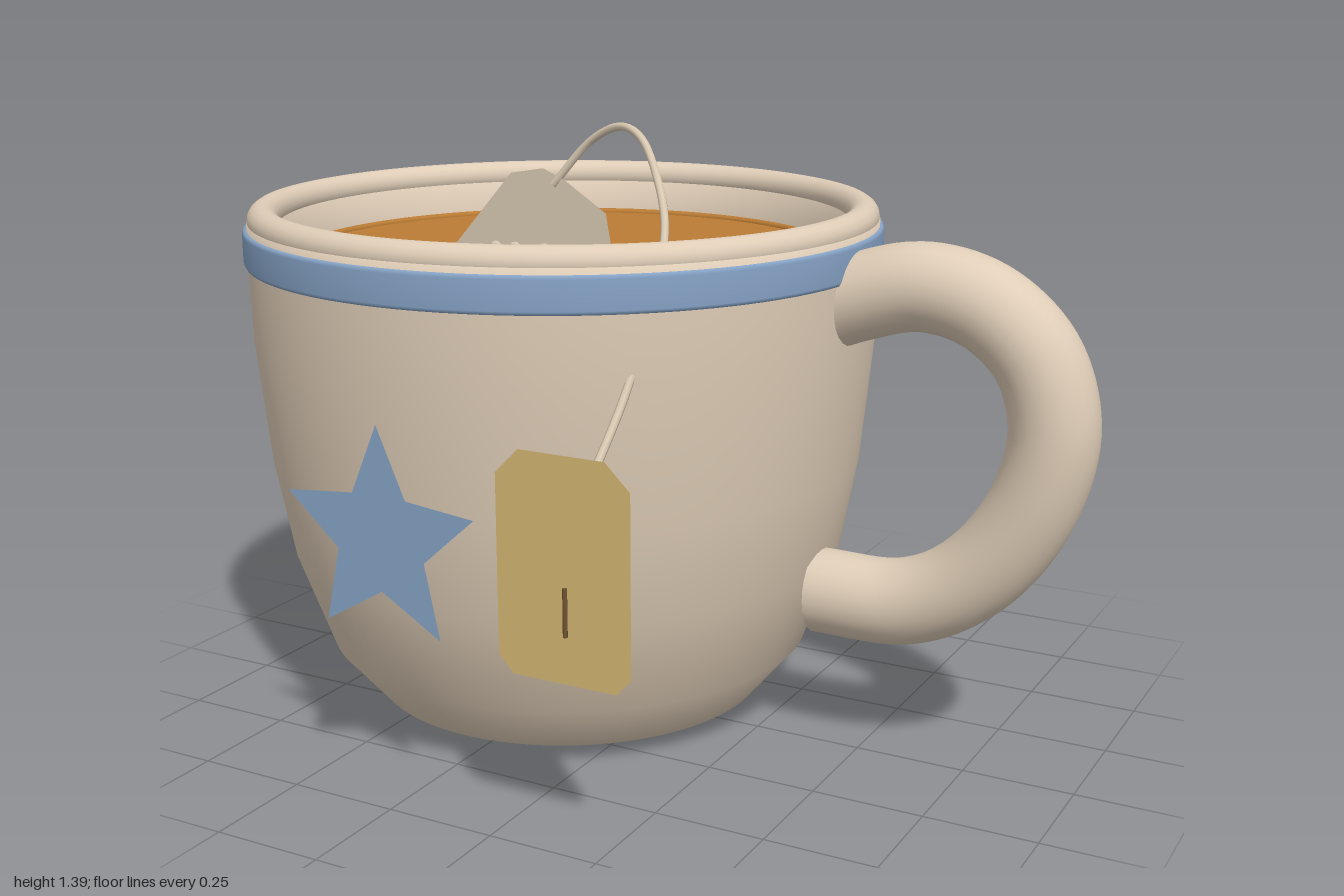
import * as THREE from 'three';

const CX = -0.27, CZ = -0.028; // cup axis

function material(name, color, side = THREE.FrontSide) {
  const m = new THREE.MeshStandardMaterial({ color, side });
  m.name = name;
  return m;
}

const v2 = (pts) => pts.map(([x, y]) => new THREE.Vector2(x, y));
const v3 = (pts) => pts.map(([x, y, z]) => new THREE.Vector3(x, y, z));

export function createModel() {
  const group = new THREE.Group();
  const ceramic = material('cream ceramic', 0xdfcdb7);
  const blue = material('blue glaze', 0x86a3c6, THREE.DoubleSide);
  const tea = material('tea', 0xbb7c34);
  const paper = material('tag paper', 0xd6b873, THREE.DoubleSide);
  const bagCloth = material('bag cloth', 0xd9c9b2, THREE.DoubleSide);
  const brown = material('stem brown', 0x6e5530);

  const add = (name, geometry, mat, x = 0, y = 0, z = 0) => {
    const mesh = new THREE.Mesh(geometry, mat);
    mesh.name = name;
    mesh.position.set(x, y, z);
    group.add(mesh);
    return mesh;
  };
  const plate = (name, pts, mat, z) =>
    add(name, new THREE.ShapeGeometry(new THREE.Shape(v2(pts))), mat, 0, 0, z);

  // Cup wall: up the outside, over the lip, down the inside
  const wall = [
    [0, 0], [0.38, 0.003], [0.465, 0.04], [0.57, 0.165], [0.65, 0.39], [0.69, 0.61],
    [0.718, 0.89], [0.723, 1.07], [0.722, 1.16], [0.655, 1.16], [0.648, 1.04], [0.64, 0.9],
    [0.6, 0.4], [0.5, 0.16], [0, 0.08],
  ];
  add('cupBody', new THREE.LatheGeometry(v2(wall), 96), ceramic, CX, 0, CZ);

  // Rounded rim
  const rim = add('rim', new THREE.TorusGeometry(0.686, 0.035, 16, 96), ceramic, CX, 1.165, CZ);
  rim.rotation.x = Math.PI / 2;

  // Blue band under the rim
  const band = [[0.715, 1.067], [0.728, 1.067], [0.732, 1.075], [0.732, 1.138], [0.728, 1.146], [0.715, 1.146]];
  add('blueBand', new THREE.LatheGeometry(v2(band), 96), blue, CX, 0, CZ);

  // Tea surface with a raised edge
  const surface = add('teaSurface', new THREE.CircleGeometry(0.645, 96), tea, CX, 1.07, CZ);
  surface.rotation.x = -Math.PI / 2;
  const edge = add('teaEdge', new THREE.TorusGeometry(0.635, 0.01, 8, 96), tea, CX, 1.07, CZ);
  edge.rotation.x = Math.PI / 2;

  // Handle, closed at both ends
  const handlePath = new THREE.CatmullRomCurve3(v3([
    [0.35, 0.985, CZ], [0.46, 1.03, CZ], [0.61, 1.066, CZ], [0.75, 1.035, CZ], [0.86, 0.94, CZ],
    [0.905, 0.8, CZ], [0.88, 0.65, CZ], [0.8, 0.505, CZ], [0.7, 0.41, CZ], [0.58, 0.358, CZ], [0.385, 0.352, CZ],
  ]));
  add('handle', new THREE.TubeGeometry(handlePath, 80, 0.096, 24), ceramic);
  for (const t of [0, 1]) {
    const p = handlePath.getPointAt(t);
    const out = handlePath.getTangentAt(t).multiplyScalar(t === 0 ? -1 : 1);
    const cap = add('handleEnd', new THREE.CircleGeometry(0.096, 24), ceramic, p.x, p.y, p.z);
    cap.quaternion.setFromUnitVectors(new THREE.Vector3(0, 0, 1), out);
  }

  // Five-pointed star on the front
  const star = [];
  for (let i = 0; i < 10; i++) {
    const r = i % 2 ? 0.113 : 0.243, a = Math.PI / 2 + (i * Math.PI) / 5;
    star.push([CX + r * Math.cos(a), 0.587 + r * Math.sin(a)]);
  }
  plate('star', star, blue, 0.722);

  // Tea bag leaning half out of the tea
  plate('teaBag', [
    [-0.55, 1.02], [-0.04, 0.95], [-0.085, 1.19], [-0.19, 1.257], [-0.245, 1.28], [-0.33, 1.265],
  ], bagCloth, 0.108);

  // Lumps of tea leaf showing along the bag
  for (let i = 0; i < 13; i++) {
    const lump = add('bagLump', new THREE.SphereGeometry(0.014, 8, 6), bagCloth,
      -0.4 + i * 0.026, 1.088 + 0.014 * Math.sin(i * 2.4), 0.11);
    lump.scale.set(1.1, 0.75, 0.5);
  }

  // String from the bag, through the wall, to the tag
  const stringPath = new THREE.CatmullRomCurve3(v3([
    [-0.22, 1.245, 0.107], [-0.13, 1.345, 0.094], [-0.04, 1.383, 0.118], [0.03, 1.365, 0.155],
    [0.1, 1.295, 0.215], [0.165, 1.2, 0.3], [0.2, 1.07, 0.42], [0.2, 0.907, 0.53], [0.2, 0.705, 0.733],
  ]));
  add('string', new THREE.TubeGeometry(stringPath, 80, 0.009, 8), bagCloth);

  // Paper tag with clipped corners
  plate('tag', [
    [0.065, 0.369], [0.3, 0.369], [0.332, 0.405], [0.332, 0.78], [0.277, 0.833],
    [0.085, 0.833], [0.032, 0.78], [0.032, 0.405],
  ], paper, 0.748);

  // Sprig on the tag: two leaves and a stem
  for (const s of [-1, 1]) {
    plate('tagLeaf', [[0, 0.545], [0.03 * s, 0.64], [0.093 * s, 0.655], [0.07 * s, 0.6]]
      .map(([x, y]) => [0.19 + x, y]), paper, 0.752);
  }
  add('tagStem', new THREE.CylinderGeometry(0.005, 0.005, 0.1, 8), brown, 0.19, 0.52, 0.754);

  return group;
}
